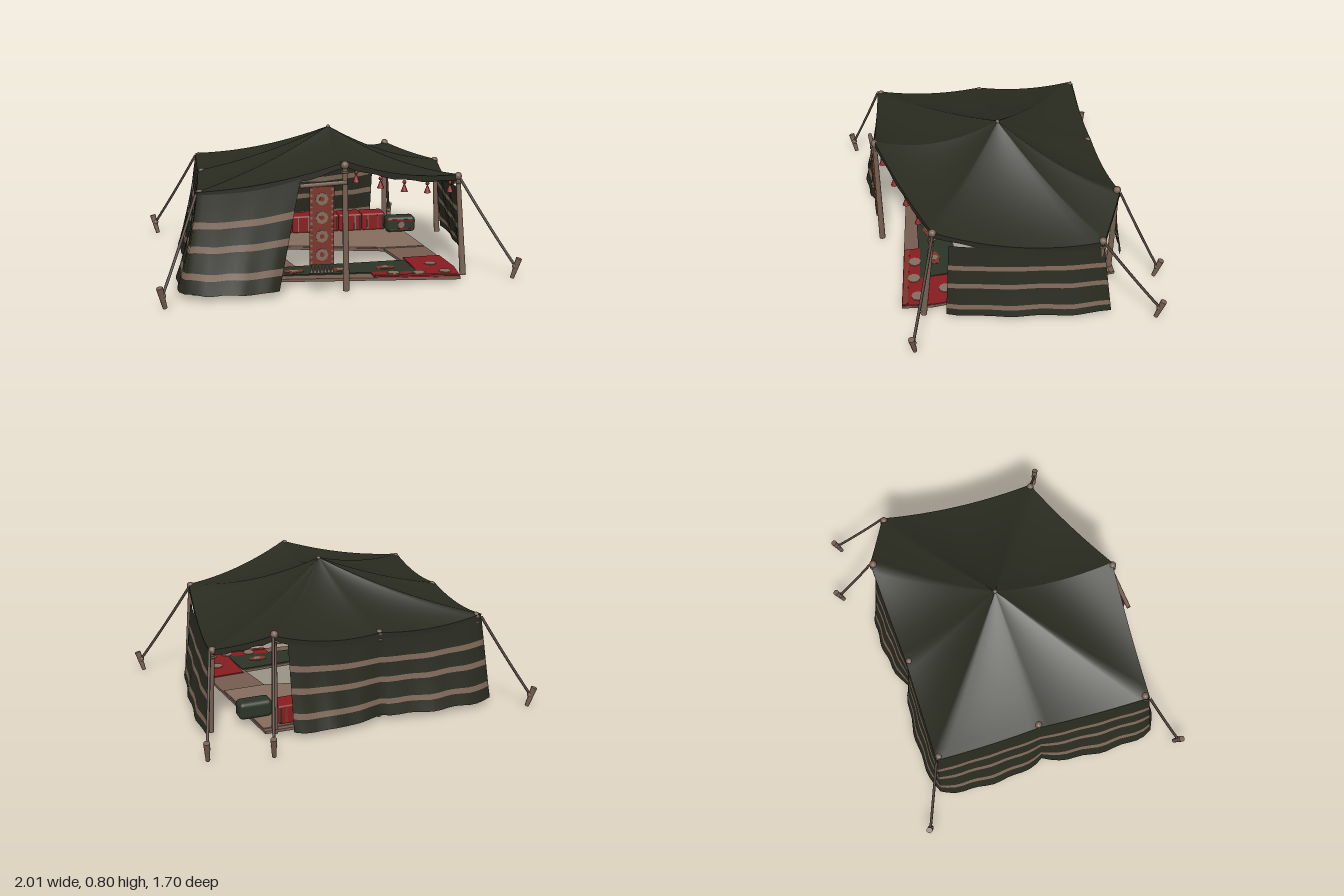
import * as THREE from 'three';
import { RoundedBoxGeometry } from 'three/addons/geometries/RoundedBoxGeometry.js';

const V = (x, y, z) => new THREE.Vector3(x, y, z);

function mat(name, color, double) {
  const m = new THREE.MeshStandardMaterial({ color });
  m.name = name;
  if (double) m.side = THREE.DoubleSide;
  return m;
}

// Surface from fn(i, j); bandOf(j) picks the material of each row
function grid(nu, nv, fn, bandOf) {
  const pos = [], idx = [], geo = new THREE.BufferGeometry();
  for (let j = 0; j <= nv; j++) for (let i = 0; i <= nu; i++) pos.push(...fn(i, j).toArray());
  for (let j = 0; j < nv; j++) {
    geo.addGroup(idx.length, nu * 6, bandOf ? bandOf(j) : 0);
    for (let i = 0; i < nu; i++) {
      const a = j * (nu + 1) + i, b = a + nu + 1;
      idx.push(a, a + 1, b, a + 1, b + 1, b);
    }
  }
  geo.setAttribute('position', new THREE.Float32BufferAttribute(pos, 3));
  geo.setIndex(idx);
  geo.computeVertexNormals();
  return geo;
}

export function createModel() {
  const g = new THREE.Group();
  g.name = 'tent';
  const cloth = mat('dark green cloth', 0x292a1f, true);
  const stripe = mat('brown stripe', 0x7d6758, true);
  const wood = mat('wood', 0x755f51);
  const rope = mat('rope', 0x4f4138);
  const red = mat('red cloth', 0x861c1f);
  const rust = mat('rust weave', 0x7a3429);
  const tan = mat('tan weave', 0x826c5d);
  const floorMat = mat('brown floor', 0x745b4f);
  const green = mat('green weave', 0x2b3426);

  const add = (name, geo, m, p, parent = g) => {
    const mesh = new THREE.Mesh(geo, m);
    mesh.name = name;
    if (p) mesh.position.copy(p);
    parent.add(mesh);
    return mesh;
  };
  // Rod between two points
  const rod = (name, a, b, r0, r1, m, sides = 8) => {
    const d = b.clone().sub(a);
    const mesh = add(name, new THREE.CylinderGeometry(r1, r0, d.length(), sides), m, a.clone().lerp(b, 0.5));
    mesh.quaternion.setFromUnitVectors(V(0, 1, 0), d.normalize());
  };
  // Flat slab drawn as [x, z] corners, with its top at y
  const slab = (name, pts, y, t, m, hole) => {
    const s = new THREE.Shape(pts.map(p => new THREE.Vector2(...p)));
    if (hole) s.holes.push(new THREE.Path(hole.map(p => new THREE.Vector2(...p))));
    const geo = new THREE.ExtrudeGeometry(s, { depth: t, bevelEnabled: false });
    geo.rotateX(Math.PI / 2);
    add(name, geo, m, V(0, y, 0));
  };

  // Roof: edge supports with radial sag, and sag of the edge to the next one
  const peak = V(0.03, 0.79, 0.01);
  const edge = [
    { p: V(0, 0.71, 0.71), s: 0.08, e: 0.035 },
    { p: V(0.69, 0.57, 0.47), s: 0.05, e: 0.07 },
    { p: V(0.82, 0.485, -0.43), s: 0.045, e: 0.01 },
    { p: V(0.52, 0.58, -0.59), s: 0.055, e: 0.04 },
    { p: V(-0.1, 0.51, -0.58), s: 0.04, e: 0.03 },
    { p: V(-0.71, 0.545, -0.6), s: 0.035, e: 0.03 },
    { p: V(-0.73, 0.55, 0), s: 0.025, e: 0.03 },
    { p: V(-0.78, 0.56, 0.64), s: 0.03, e: 0.03 },
  ];
  const SEG = 12, ROWS = 16;
  const edgeAt = i => {
    const k = Math.floor(i / SEG) % 8, u = (i % SEG) / SEG, a = edge[k], b = edge[(k + 1) % 8];
    const p = a.p.clone().lerp(b.p, u);
    p.y -= 4 * u * (1 - u) * a.e;
    return { p, s: a.s + (b.s - a.s) * u };
  };
  add('roof', grid(8 * SEG, ROWS, (i, j) => {
    const { p, s } = edgeAt(i), t = j / ROWS;
    const q = peak.clone().lerp(p, t);
    q.y -= 4 * s * t * (1 - t);
    return q;
  }), cloth);
  add('roofHem', grid(8 * SEG, 1, (i, j) => {
    const p = edgeAt(i).p;
    p.y -= j * (0.032 + 0.005 * Math.sin(i * 1.7));
    return p;
  }), cloth);
  add('peakCap', new THREE.SphereGeometry(0.012, 10, 8), wood, V(0.03, 0.785, 0.01));

  // Striped walls hung from front to back; side is the outward direction,
  // stripes holds the stripe centres as fractions from the top
  const wall = (name, top, bot, side, bulge, stripes) => {
    const cuts = [0, 0.1, 0.2];
    for (const c of stripes) cuts.push(c - 0.033, c + 0.033, c + 0.11);
    cuts.push(1);
    const N = 14, n = (top.length - 1) * N;
    const geo = grid(n, cuts.length - 1, (i, j) => {
      const k = Math.min(Math.floor(i / N), top.length - 2), u = i / N - k, v = cuts[j];
      const a = top[k].clone().lerp(top[k + 1], u), b = bot[k].clone().lerp(bot[k + 1], u);
      const dir = bot[k + 1].clone().sub(bot[k]);
      const out = V(-dir.z, 0, dir.x).normalize().multiplyScalar(side);
      const p = a.lerp(b, v);
      const swell = Math.pow(Math.sin(Math.PI * u), 0.6) * bulge * v * v;
      p.addScaledVector(out, swell + 0.006 * v * Math.sin(i * 1.3));
      p.y -= 4 * u * (1 - u) * 0.025 * (1 - v) - 0.004 * v * Math.sin(i * 1.1);
      return p;
    }, j => (j === 3 || j === 6 || j === 9 ? 1 : 0));
    add(name, geo, [cloth, stripe]);
  };
  wall('mainWall',
    [V(-0.24, 0.62, 0.69), V(-0.775, 0.55, 0.64), V(-0.73, 0.54, 0), V(-0.71, 0.535, -0.6), V(-0.1, 0.5, -0.575), V(0.44, 0.55, -0.585)],
    [V(-0.36, 0.03, 0.725), V(-0.86, 0.03, 0.69), V(-0.8, 0.03, 0.01), V(-0.78, 0.03, -0.63), V(-0.1, 0.03, -0.6), V(0.43, 0.03, -0.645)],
    -1, 0.05, [0.315, 0.555, 0.825]);
  wall('rightWall', [V(0.705, 0.48, 0.39), V(0.815, 0.47, -0.43)], [V(0.745, 0.03, 0.42), V(0.875, 0.03, -0.48)], 1, 0.03, [0.31, 0.57, 0.875]);

  // Poles with lashed tops: [top, bottom x, bottom z]
  const poles = [
    [V(-0.01, 0.69, 0.71), 0, 0.71], [V(0.68, 0.56, 0.47), 0.7, 0.54], [V(0.51, 0.58, -0.575), 0.51, -0.56],
    [V(0.805, 0.48, -0.425), 0.83, -0.42], [V(-0.1, 0.5, -0.56), -0.1, -0.57], [V(-0.69, 0.53, -0.58), -0.71, -0.59],
    [V(-0.71, 0.54, 0), -0.75, 0], [V(-0.76, 0.55, 0.62), -0.8, 0.64],
  ];
  for (const [t, x, z] of poles) {
    rod('pole', V(x, 0.01, z), t, 0.018, 0.013, wood, 10);
    add('poleLashing', new THREE.SphereGeometry(0.022, 10, 8), wood, t);
    const ring = add('lashingRing', new THREE.TorusGeometry(0.017, 0.006, 6, 12), wood, V(t.x, t.y - 0.035, t.z));
    ring.rotation.x = Math.PI / 2;
  }
  rod('backRail', V(-0.02, 0.49, -0.5), V(0.49, 0.505, -0.5), 0.01, 0.01, wood);

  // Guy ropes and stakes
  const guys = [[V(-0.71, 0.53, -0.6), -0.97, -0.75], [V(0.52, 0.57, -0.59), 0.605, -0.82], [V(0.82, 0.48, -0.43), 0.935, -0.735],
    [V(0.69, 0.55, 0.47), 0.975, 0.625], [V(-0.78, 0.55, 0.64), -0.97, 0.815]];
  for (const [a, x, z] of guys) {
    const out = V(x - a.x, 0, z - a.z).normalize();
    const base = V(x, 0, z).addScaledVector(out, -0.015), top = V(x, 0.115, z).addScaledVector(out, 0.02);
    const tie = V(x, 0.07, z);
    const mid = a.clone().lerp(tie, 0.5).add(V(0, -0.015, 0));
    add('guyRope', new THREE.TubeGeometry(new THREE.QuadraticBezierCurve3(a, mid, tie), 12, 0.008, 6), rope);
    rod('stake', base, top, 0.012, 0.018, wood);
    add('stakeKnot', new THREE.SphereGeometry(0.018, 8, 6), wood, tie);
  }

  // Floor ring, back rug, dark runner and patterned front rug
  const hole = [[-0.21, 0.32], [0.41, 0.29], [0.37, 0.03], [-0.3, -0.14]];
  slab('floor', [[0.65, 0.655], [-0.36, 0.53], [-0.79, 0.62], [-0.67, -0.6], [0.57, -0.58], [0.67, 0.48]], 0.036, 0.016, floorMat, hole);
  slab('backRug', [[-0.55, -0.55], [0.57, -0.55], [0.62, 0.02], [0.37, 0.02], [-0.3, -0.145], [-0.55, -0.145]], 0.042, 0.007, tan);
  slab('frontRunner', [[-0.5, 0.33], [0.42, 0.3], [0.44, 0.53], [-0.4, 0.47]], 0.042, 0.007, green);
  slab('frontRug', [[0.18, 0.5], [0.44, 0.53], [0.43, 0.25], [0.65, 0.24], [0.668, 0.48], [0.648, 0.653], [0.18, 0.595]], 0.042, 0.007, red);
  slab('rugBorder', [[0.19, 0.565], [0.648, 0.622], [0.646, 0.648], [0.19, 0.59]], 0.046, 0.004, rust);
  for (const [x, z] of [[0.59, 0.56], [0.44, 0.565], [0.3, 0.545], [0.55, 0.4]])
    add('rugMedallion', new THREE.CylinderGeometry(0.036, 0.036, 0.004, 8), tan, V(x, 0.045, z));
  for (const [x, z] of [[0.28, 0.43], [0.02, 0.43], [-0.24, 0.42]]) {
    add('runnerPatch', new THREE.CylinderGeometry(0.06, 0.06, 0.004, 6), rust, V(x, 0.042, z)).scale.z = 0.6;
    add('runnerPatchCentre', new THREE.CylinderGeometry(0.024, 0.024, 0.006, 6), tan, V(x, 0.043, z));
  }

  // Seat cushions with woven bands
  const bench = (name, n, len, place) => {
    const b = new THREE.Group();
    b.name = name;
    for (let i = 0; i < n; i++) {
      const w = len / n, x = (i + 0.5) * w - len / 2;
      add('cushion', new RoundedBoxGeometry(w, 0.11, 0.13, 3, 0.012), red, V(x, 0.095, 0), b);
      add('cushionBand', new THREE.BoxGeometry(0.012, 0.09, 0.134), i % 2 ? tan : rust, V(x + w * 0.2, 0.095, 0), b);
      add('cushionBand', new THREE.BoxGeometry(0.007, 0.09, 0.134), tan, V(x - w * 0.25, 0.095, 0), b);
      add('cushionDarkBand', new THREE.BoxGeometry(0.009, 0.09, 0.134), cloth, V(x + w * 0.4, 0.095, 0), b);
    }
    place(b);
    g.add(b);
  };
  bench('backBench', 7, 1.05, b => b.position.set(-0.045, 0, -0.475));
  bench('leftBench', 7, 0.96, b => { b.position.set(-0.62, 0, 0.08); b.rotation.y = Math.PI / 2; });
  add('greenBolster', new RoundedBoxGeometry(0.19, 0.1, 0.1, 3, 0.025), green, V(0.565, 0.09, -0.37));
  const spot = add('bolsterPatch', new THREE.CylinderGeometry(0.022, 0.022, 0.006, 8), tan, V(0.565, 0.09, -0.319));
  spot.rotation.x = Math.PI / 2;
  for (const y of [0.06, 0.12])
    add('bolsterBand', new THREE.BoxGeometry(0.16, 0.008, 0.006), red, V(0.565, y, -0.32));

  // Hanging woven banner
  rod('bannerRod', V(-0.25, 0.59, 0.725), V(0, 0.6, 0.715), 0.012, 0.012, wood);
  add('banner', new THREE.BoxGeometry(0.13, 0.42, 0.008), rust, V(-0.135, 0.375, 0.725));
  for (const side of [1, -1]) {
    const z = 0.725 + side * 0.005;
    for (let i = 0; i < 4; i++) {
      const d = add('bannerMotif', new THREE.CylinderGeometry(0.034, 0.034, 0.004, 8), tan, V(-0.135, 0.22 + i * 0.1, z));
      d.rotation.x = Math.PI / 2;
      const c = add('motifCentre', new THREE.CylinderGeometry(0.014, 0.014, 0.006, 6), rust, d.position);
      c.rotation.x = Math.PI / 2;
    }
    for (let i = 0; i < 14; i++) for (const s of [1, -1])
      add('bannerEdgeMark', new THREE.BoxGeometry(0.01, 0.012, 0.004), tan, V(-0.135 + s * 0.056, 0.18 + i * 0.03, z));
  }
  for (let i = 0; i < 7; i++)
    add('bannerFringe', new THREE.ConeGeometry(0.009, 0.05, 6), stripe, V(-0.19 + i * 0.0185, 0.145, 0.725));

  // Tassels under the front edge
  for (const i of [1, 3.5, 6, 8.5, 11]) {
    const { p } = edgeAt(i);
    add('tassel', new THREE.ConeGeometry(0.02, 0.05, 8), red, V(p.x, p.y - 0.072, p.z - 0.015));
    add('tasselKnot', new THREE.SphereGeometry(0.011, 8, 6), red, V(p.x, p.y - 0.045, p.z - 0.015));
  }
  return g;
}
